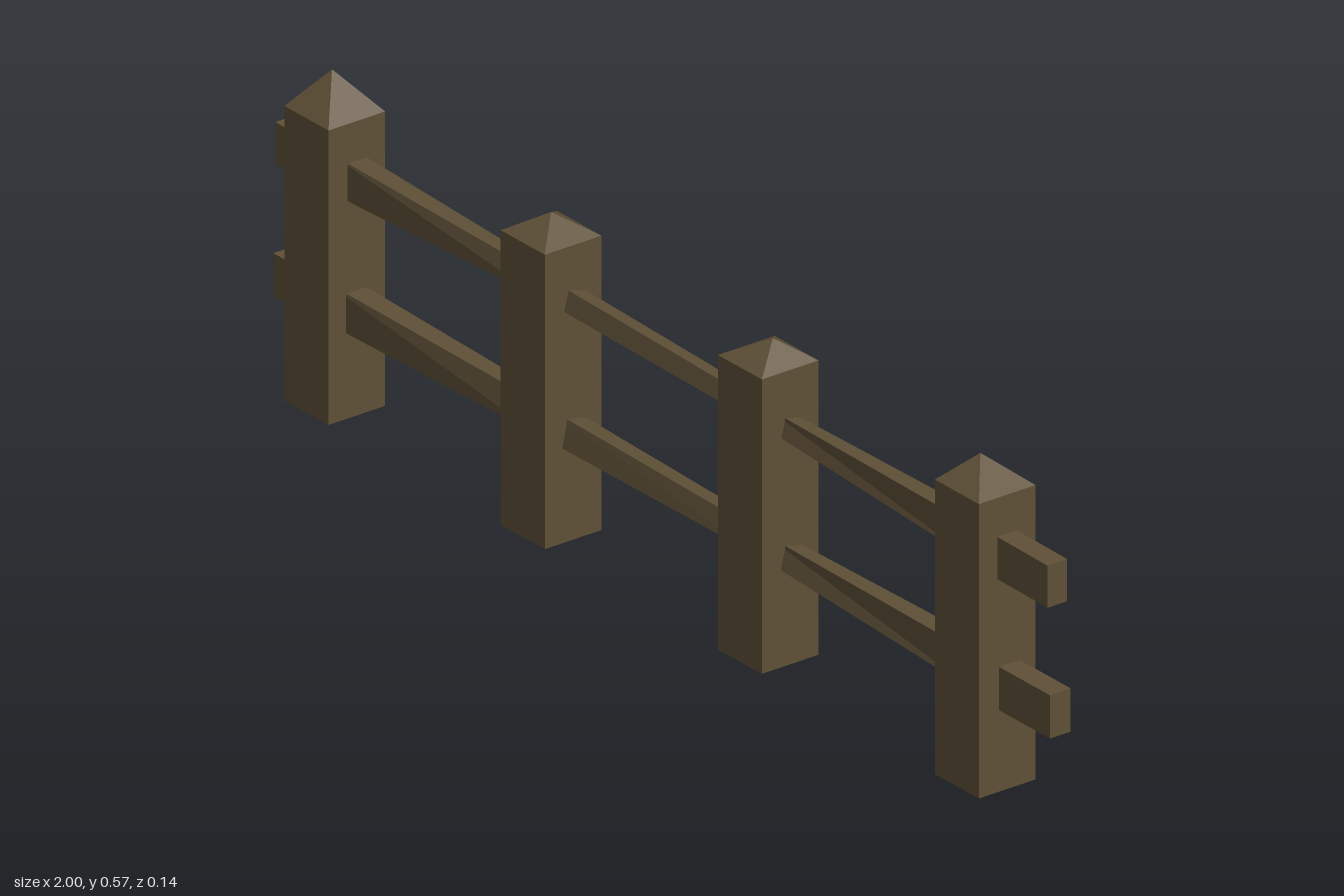
import * as THREE from 'three';

// Prism through four-cornered cross-sections; each ring lists corners
// counter-clockwise as seen from the far end looking back at the start.
function loft(rings, capStart = true, capEnd = true) {
  const p = [];
  const quad = (a, b, c, d) => [a, b, c, a, c, d].forEach(v => p.push(...v));
  for (let i = 0; i < rings.length - 1; i++) {
    for (let k = 0; k < 4; k++) {
      const n = (k + 1) % 4;
      quad(rings[i][k], rings[i][n], rings[i + 1][n], rings[i + 1][k]);
    }
  }
  const first = rings[0], last = rings[rings.length - 1];
  if (capStart) quad(first[3], first[2], first[1], first[0]);
  if (capEnd) quad(last[0], last[1], last[2], last[3]);
  const g = new THREE.BufferGeometry();
  g.setAttribute('position', new THREE.Float32BufferAttribute(p, 3));
  g.computeVertexNormals();
  return g;
}

// Rail cross-section in the y/z plane, rolled about the rail's length
function railRing([x, y, z, height, depth, roll]) {
  const c = Math.cos(roll), s = Math.sin(roll);
  return [[-1, -1], [1, -1], [1, 1], [-1, 1]].map(([a, b]) => {
    const u = a * height / 2, v = b * depth / 2;
    return [x, y + u * c - v * s, z + u * s + v * c];
  });
}

export function createModel() {
  const fence = new THREE.Group();
  fence.name = 'fence';
  const wood = new THREE.MeshStandardMaterial({ color: 0x5f5037 });
  wood.name = 'dark wood';
  const add = (geometry, name) => {
    const mesh = new THREE.Mesh(geometry, wood);
    mesh.name = name;
    fence.add(mesh);
  };

  // Square posts with uneven pointed tops: x, z, peak height, peak offset x
  const half = 0.056, shoulder = 0.51;
  const posts = [
    [-0.87, -0.012, 0.575, -0.007],
    [-0.31, -0.004, 0.546, 0],
    [0.252, 0.004, 0.548, 0.012],
    [0.814, 0.012, 0.556, -0.012],
  ];
  for (const [x, z, peak, dx] of posts) {
    const ring = (y, w, cx) => [[-1, 1], [1, 1], [1, -1], [-1, -1]]
      .map(([a, b]) => [cx + a * w, y, z + b * w]);
    add(loft([
      ring(0, half, x),
      ring(shoulder, half, x),
      ring(peak, 0.0005, x + dx),
    ]), 'post');
  }

  // Hewn rails, thinner and slightly rolled mid-way: x, y, z, height, depth, roll
  const upper = [
    [-1, 0.406, -0.015, 0.073, 0.039, 0],
    [-0.87, 0.408, -0.014, 0.068, 0.039, 0],
    [-0.31, 0.413, -0.008, 0.036, 0.034, -0.25],
    [0.252, 0.410, 0.002, 0.031, 0.03, -0.25],
    [0.814, 0.406, 0.011, 0.06, 0.036, 0],
    [0.86, 0.406, 0.012, 0.073, 0.039, 0],
    [1, 0.406, 0.014, 0.073, 0.039, 0],
  ];
  const lower = [
    [-1, 0.179, -0.012, 0.075, 0.041, 0],
    [-0.87, 0.182, -0.012, 0.07, 0.041, 0],
    [-0.31, 0.184, -0.007, 0.05, 0.038, -0.2],
    [0.252, 0.185, 0.001, 0.038, 0.034, -0.25],
    [0.814, 0.181, 0.007, 0.065, 0.039, 0],
    [0.86, 0.179, 0.008, 0.075, 0.041, 0],
    [1, 0.179, 0.008, 0.075, 0.041, 0],
  ];
  add(loft(upper.map(railRing)), 'upperRail');
  add(loft(lower.map(railRing)), 'lowerRail');
  return fence;
}
